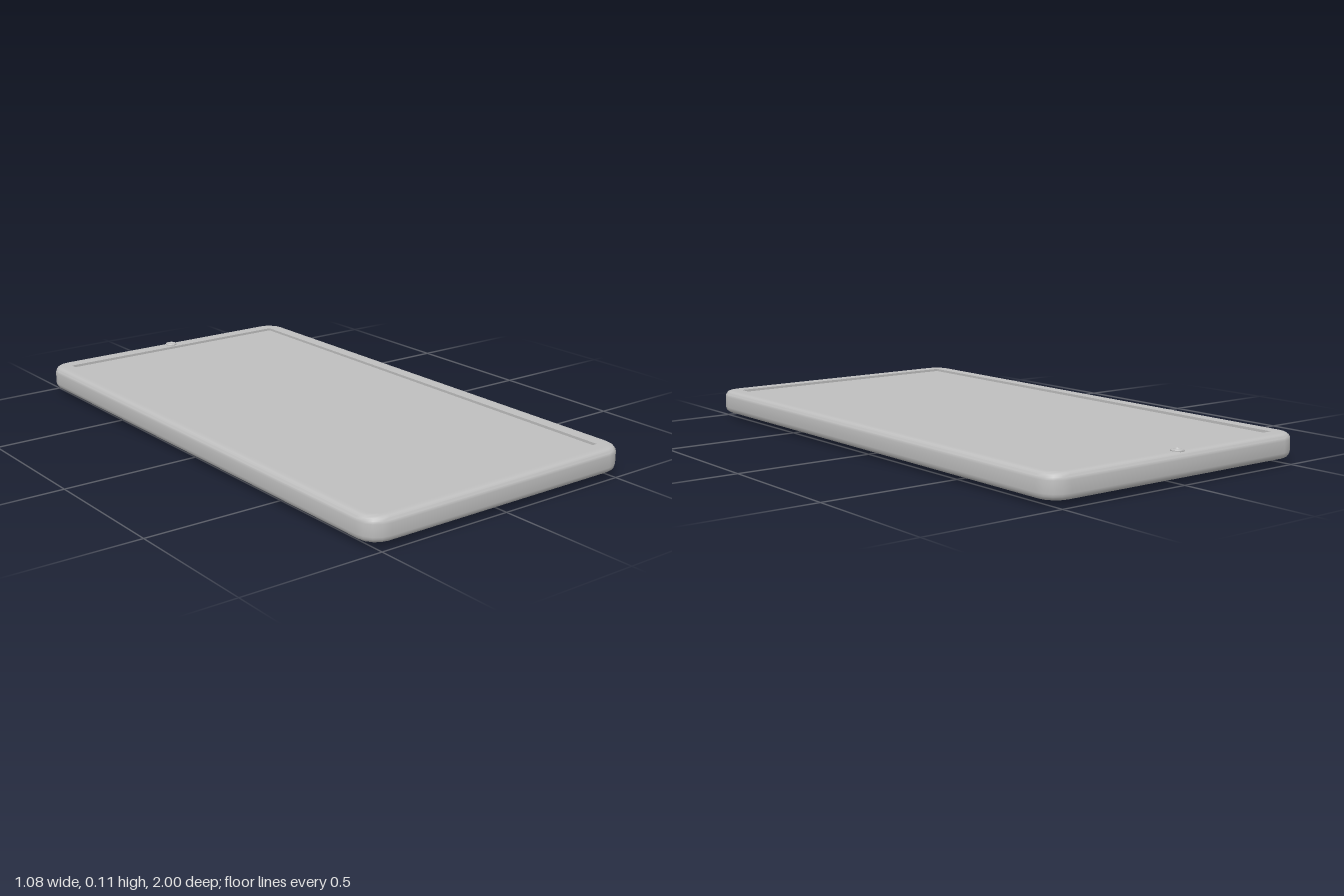
import * as THREE from 'three';
import { toCreasedNormals } from 'three/addons/utils/BufferGeometryUtils.js';

const casing = new THREE.MeshStandardMaterial({ color: 0xbfbfbf });
casing.name = 'casing grey';

// Horizontal loop of points round a rounded rectangle
function outline(halfX, halfZ, radius, y, steps = 4) {
  const points = [];
  [[1, 1], [-1, 1], [-1, -1], [1, -1]].forEach(([sx, sz], corner) => {
    for (let i = 0; i <= steps; i++) {
      const a = (corner + i / steps) * Math.PI / 2;
      points.push([sx * (halfX - radius) + radius * Math.cos(a), y,
        sz * (halfZ - radius) + radius * Math.sin(a)]);
    }
  });
  return points;
}

// Skin a stack of loops, closed by a flat fan at each end
function loft(loops) {
  const n = loops[0].length;
  const positions = loops.flat(2);
  const index = [];
  const first = loops.length * n;
  const last = first + 1;
  positions.push(0, loops[0][0][1], 0, 0, loops[loops.length - 1][0][1], 0);
  for (let i = 0; i < n; i++) {
    const j = (i + 1) % n;
    for (let k = 0; k < loops.length - 1; k++) {
      const a = k * n + i, b = k * n + j;
      index.push(a, a + n, b, b, a + n, b + n);
    }
    const top = (loops.length - 1) * n;
    index.push(first, i, j, last, top + j, top + i);
  }
  const geometry = new THREE.BufferGeometry();
  geometry.setAttribute('position', new THREE.Float32BufferAttribute(positions, 3));
  geometry.setIndex(index);
  return toCreasedNormals(geometry, 0.6);
}

// Pill outline along z; half = 0 gives a circle
function pill(type, radius, half) {
  const path = new type();
  path.absarc(0, half, radius, 0, Math.PI, false);
  path.absarc(0, -half, radius, Math.PI, Math.PI * 2, false);
  path.closePath();
  return path;
}

// Pill plate or ring hanging from the back cover down to the given height
function backPlate(name, radius, half, innerRadius, bottom, z) {
  const shape = pill(THREE.Shape, radius, half);
  if (innerRadius) shape.holes.push(pill(THREE.Path, innerRadius, half));
  const top = 0.022;
  const geometry = new THREE.ExtrudeGeometry(shape, {
    depth: top - bottom, bevelEnabled: false, curveSegments: 16,
  });
  geometry.rotateX(Math.PI / 2);
  const mesh = new THREE.Mesh(toCreasedNormals(geometry, 0.6), casing);
  mesh.name = name;
  mesh.position.set(0.33, top, z);
  return mesh;
}

export function createModel() {
  const group = new THREE.Group();
  group.name = 'phone';
  const add = (name, geometry, x = 0, y = 0, z = 0) => {
    const mesh = new THREE.Mesh(geometry, casing);
    mesh.name = name;
    mesh.position.set(x, y, z);
    group.add(mesh);
  };

  // Body: soft-edged slab with a shallow screen recess
  const bottom = 0.02, top = 0.104, bevel = 0.022;
  const ring = (inset, y) => outline(0.54 - inset, 1 - inset, 0.075 - inset, y);
  const loops = [ring(0.035, bottom)];
  for (const side of [0, 1]) {
    for (let i = 0; i <= 4; i++) {
      const a = (side ? i : 4 - i) * Math.PI / 8;
      const inset = bevel * (1 - Math.cos(a));
      const rise = bevel * (1 - Math.sin(a));
      loops.push(ring(inset, side ? top - rise : bottom + rise));
    }
  }
  loops.push(ring(0.035, top));
  loops.push(outline(0.474, 0.932, 0, top));
  loops.push(outline(0.474, 0.932, 0, top - 0.009));
  add('body', loft(loops));

  // Speaker slits at both ends of the screen
  for (const side of [-1, 1]) {
    add('speakerSlit', new THREE.BoxGeometry(0.32, 0.008, 0.005), -0.065, 0.0995, side * 0.934);
  }

  // Front camera: small raised button with a dished centre
  const button = [[0.022, 0.1], [0.022, 0.107], [0.019, 0.11], [0.013, 0.11], [0.011, 0.107], [0, 0.107]]
    .map(([r, y]) => new THREE.Vector2(r, y));
  add('frontCamera', toCreasedNormals(new THREE.LatheGeometry(button, 16), 0.5), 0, 0, -0.965);

  // Rear camera island: rim, recessed floor and three lenses
  const middle = -0.54, half = 0.25;
  group.add(backPlate('cameraRim', 0.1, half, 0.086, 0, middle));
  group.add(backPlate('cameraFloor', 0.09, half, 0, 0.01, middle));
  for (const z of [-0.79, -0.63, -0.29]) {
    group.add(backPlate('lensRing', 0.068, 0, 0.056, 0.002, z));
    group.add(backPlate('lensGlass', 0.058, 0, 0, 0.007, z));
  }
  return group;
}
